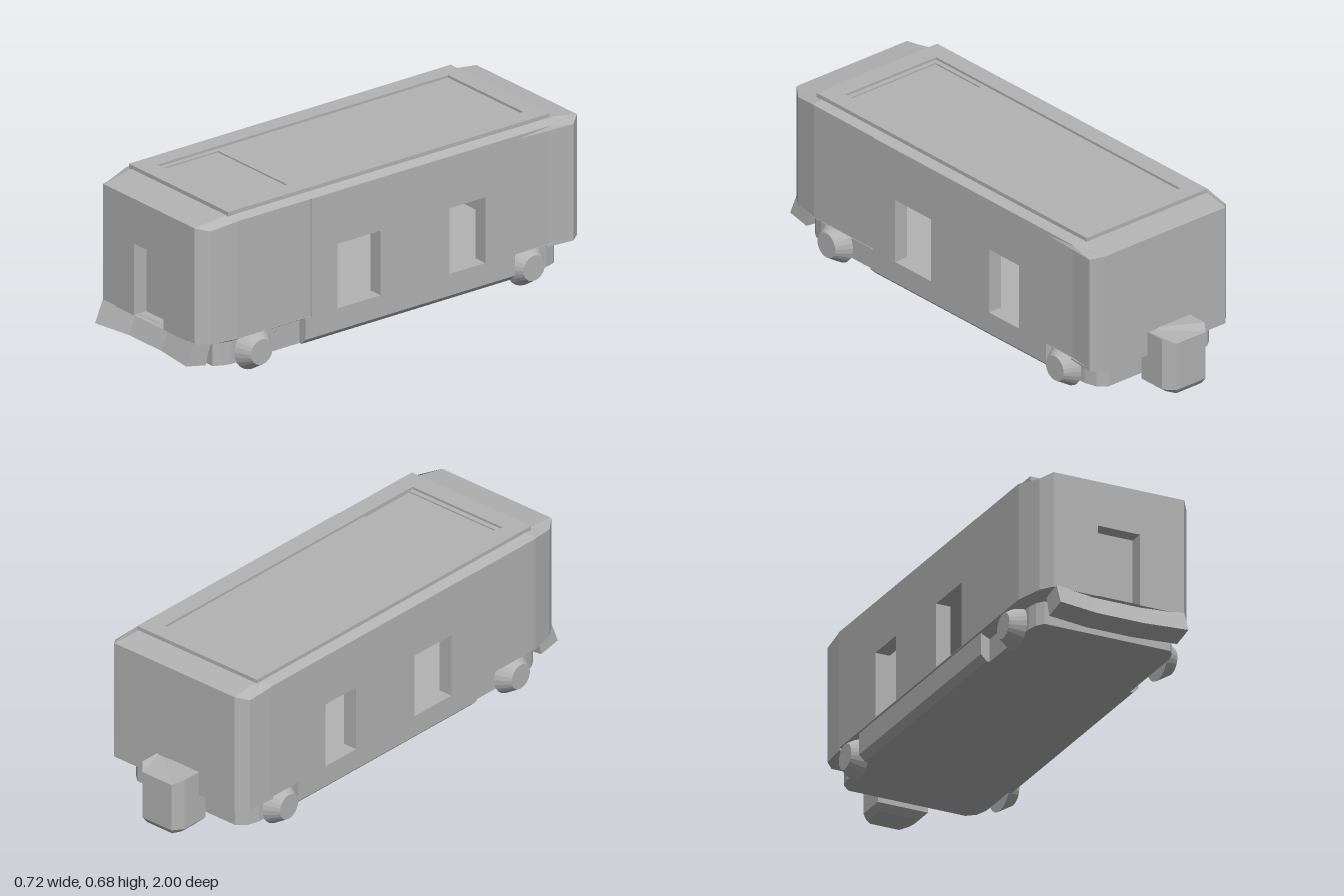
import * as THREE from 'three';

const shellGrey = new THREE.MeshStandardMaterial({ color: 0xb3b3b3, flatShading: true });
shellGrey.name = 'shellGrey';

// Skin between rings of [x, y, z]; each ring is counter-clockwise seen from the last ring's end.
function loft(rings) {
  const pos = [];
  const tri = (a, b, c) => pos.push(...a, ...b, ...c);
  const n = rings[0].length, last = rings[rings.length - 1];
  for (let r = 0; r < rings.length - 1; r++) {
    for (let i = 0; i < n; i++) {
      const j = (i + 1) % n;
      tri(rings[r][i], rings[r][j], rings[r + 1][j]);
      tri(rings[r][i], rings[r + 1][j], rings[r + 1][i]);
    }
  }
  for (let i = 1; i < n - 1; i++) {
    tri(rings[0][0], rings[0][i + 1], rings[0][i]);
    tri(last[0], last[i], last[i + 1]);
  }
  const g = new THREE.BufferGeometry();
  g.setAttribute('position', new THREE.Float32BufferAttribute(pos, 3));
  g.computeVertexNormals();
  return g;
}

// Rectangular plate with rectangular openings; rectangles are [u0, v0, u1, v1].
function plate([a, b, c, d], holes, depth) {
  const corners = (u0, v0, u1, v1) =>
    [[u0, v0], [u1, v0], [u1, v1], [u0, v1]].map((p) => new THREE.Vector2(...p));
  const shape = new THREE.Shape(corners(a, b, c, d));
  for (const h of holes) shape.holes.push(new THREE.Path(corners(...h).reverse()));
  return new THREE.ExtrudeGeometry(shape, { depth, bevelEnabled: false });
}

const level = (points, y) => points.map(([x, z]) => [x, y, z]);
const mirror = (ring) => ring.map(([x, y, z]) => [-x, y, z]).reverse();

export function createModel() {
  const model = new THREE.Group();
  const add = (name, geometry) => {
    const mesh = new THREE.Mesh(geometry, shellGrey);
    mesh.name = name;
    model.add(mesh);
    return mesh;
  };
  const box = (name, x0, x1, y0, y1, z0, z1) =>
    add(name, new THREE.BoxGeometry(x1 - x0, y1 - y0, z1 - z0)
      .translate((x0 + x1) / 2, (y0 + y1) / 2, (z0 + z1) / 2));

  // Body plan, front right corner round to front left
  const plan = [[0.28, 0.955], [0.315, 0.905], [0.338, 0.79], [0.343, -0.71], [0.355, -0.83], [0.32, -0.875],
    [-0.295, -0.875], [-0.335, -0.83], [-0.345, -0.71], [-0.345, 0.79], [-0.315, 0.905], [-0.275, 0.955]];
  const eaves = [0.642, 0.627, 0.647, 0.647, 0.632, 0.65];
  const eavesY = [...eaves, ...eaves.slice().reverse()];
  const inset = (half) => [...half, ...half.map(([x, z]) => [-x, z]).reverse()];

  // Chassis flaring out to the floor of the body
  const under = inset([[0.27, 0.86], [0.29, 0.83], [0.3, 0.79], [0.3, -0.74], [0.285, -0.79], [0.25, -0.82]]);
  add('chassis', loft([level(under, 0.045), level(under, 0.14), level(plan, 0.162)]));

  // Sloping roof edge
  const crown = inset([[0.29, 0.81], [0.298, 0.8], [0.305, 0.78], [0.305, -0.73], [0.305, -0.75], [0.3, -0.757]]);
  add('roof', loft([plan.map(([x, z], i) => [x, eavesY[i], z]), level(crown, 0.663)]));

  // Raised roof frame and the stepped panel inside it
  const frame = plate([-0.305, -0.81, 0.305, 0.757], [[-0.23, -0.73, 0.23, 0.685]], 0.018);
  add('roofFrame', frame.rotateX(-Math.PI / 2).translate(0, 0.661, 0));
  const panel = plate([-0.23, -0.73, 0.23, 0.685], [[-0.21, -0.71, 0.229, -0.45]], 0.008);
  add('roofPanel', panel.rotateX(-Math.PI / 2).translate(0, 0.661, 0));

  // Side walls with two openings each
  const openings = [[-0.31, 0.163, -0.1, 0.43], [0.235, 0.163, 0.41, 0.435]];
  for (const [name, x] of [['leftWall', 0.283], ['rightWall', -0.345]]) {
    const wall = plate([-0.435, 0.16, 0.72, 0.648], openings, 0.061);
    add(name, wall.rotateY(Math.PI / 2).translate(x, 0, 0));
  }

  // Front side walls, slightly set in on the left
  const frontSide = (x) => {
    const pts = [[0.315, 0.905], [x, 0.79], [x, 0.43], [0.27, 0.43], [0.27, 0.86]];
    const tops = [0.627, 0.647, 0.647, 0.647, 0.635];
    return [level(pts, 0.16), pts.map(([px, z], i) => [px, tops[i], z])];
  };
  add('leftFrontWall', loft(frontSide(0.336)));
  add('rightFrontWall', loft(frontSide(0.345).map(mirror)));

  // Front face around the recessed door
  const jamb = [[0.09, 0.955], [0.28, 0.955], [0.315, 0.905], [0.27, 0.86], [0.09, 0.86]];
  const jambTops = [0.642, 0.642, 0.627, 0.635, 0.642];
  const jambRings = [level(jamb, 0.16), jamb.map(([x, z], i) => [x, jambTops[i], z])];
  add('leftFrontPanel', loft(jambRings));
  add('rightFrontPanel', loft(jambRings.map(mirror)));
  box('doorHeader', -0.09, 0.09, 0.457, 0.642, 0.86, 0.955);
  box('door', -0.09, 0.09, 0.16, 0.46, 0.86, 0.895);

  // Rear end
  const rear = plan.slice(3, 9);
  add('rearEnd', loft([level(rear, 0.15), rear.map(([x, z], i) => [x, eavesY[i + 3], z])]));

  // Side skirts between the wheels, bevelled underneath
  for (const side of [1, -1]) {
    const section = (z) => {
      const ring = [[0.28, 0.045, z], [0.312, 0.045, z], [0.338, 0.07, z], [0.338, 0.162, z], [0.28, 0.162, z]];
      return side > 0 ? ring : mirror(ring);
    };
    add(side > 0 ? 'leftSkirt' : 'rightSkirt', loft([section(-0.56), section(0.46)]));
  }

  // Tilted front bumper with ends swept forward
  const bumper = [[-0.272, 0], [-0.1, -0.028], [0.1, -0.028], [0.278, -0.006]].map(([x, dz]) =>
    [[0.08, 1], [0.06, 0.905], [0.15, 0.88], [0.165, 0.965]].map(([y, z]) => [x, y, z + dz]));
  add('bumper', loft(bumper));

  // Tapered wheels
  for (const side of [1, -1]) {
    for (const [name, z] of [['frontWheel', 0.69], ['rearWheel', -0.635]]) {
      const wheel = new THREE.CylinderGeometry(0.052, 0.088, 0.058, 24);
      add(name, wheel.rotateZ(-side * Math.PI / 2).translate(side * 0.331, 0.088, z));
    }
  }

  // Box hung on the rear
  const crate = [[0.1, -0.84], [0.1, -0.96], [0.063, -1], [-0.085, -1], [-0.115, -0.96], [-0.115, -0.84]];
  const base = [[0.068, -0.87], [0.068, -0.95], [0.05, -0.985], [-0.075, -0.985], [-0.092, -0.95], [-0.092, -0.87]];
  const lid = [0.25, 0.25, 0.235, 0.235, 0.25, 0.25];
  add('rearBox', loft([level(base, 0.012), level(crate, 0.035), crate.map(([x, z], i) => [x, lid[i], z])]));

  return model;
}
